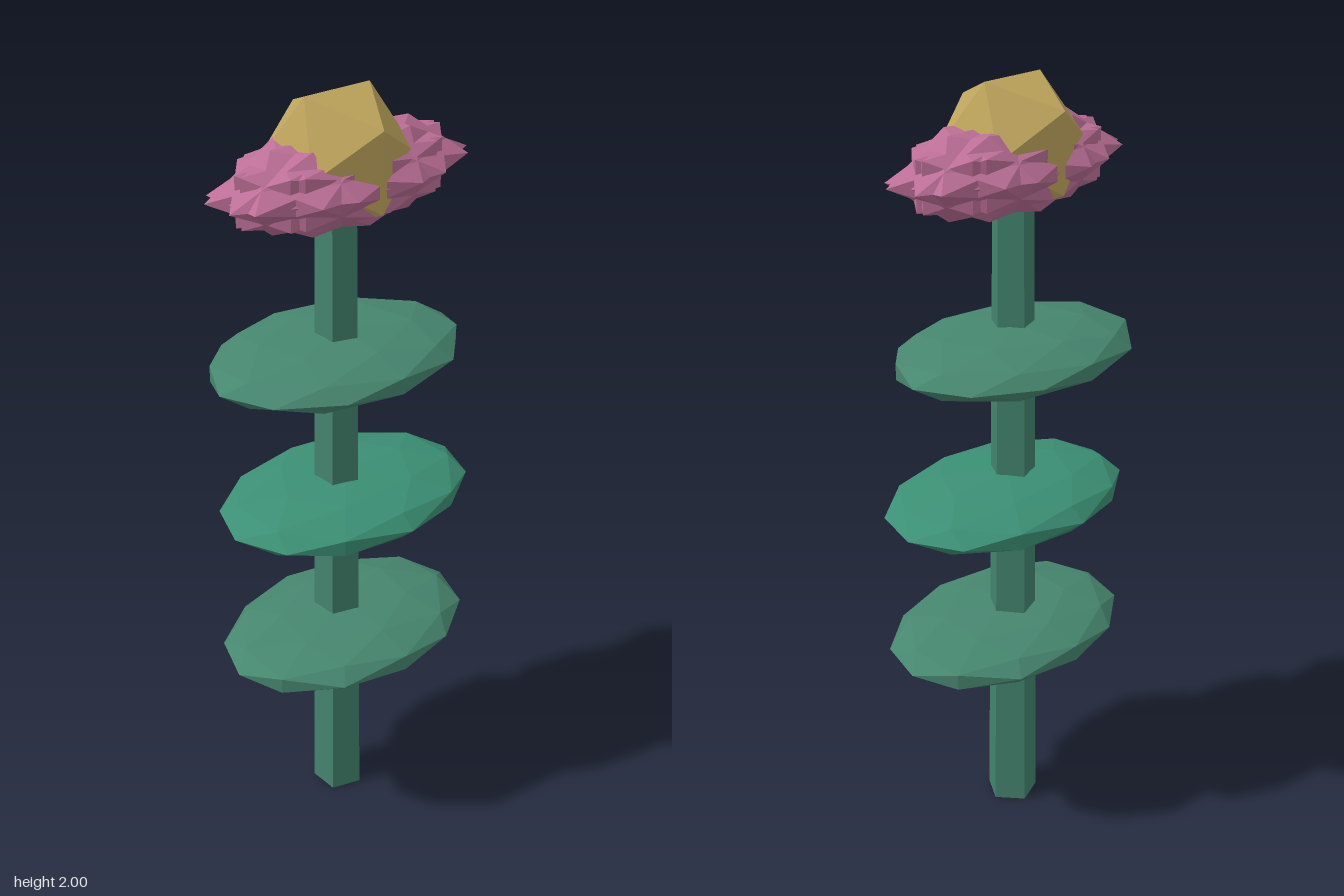
import * as THREE from 'three';

const AXIS = -0.013; // x of the stem

function paint(color) {
  return new THREE.MeshStandardMaterial({ color, flatShading: true });
}

function addMesh(parent, name, geometry, material, x, y, z) {
  const mesh = new THREE.Mesh(geometry, material);
  mesh.name = name;
  mesh.position.set(x, y, z);
  parent.add(mesh);
  return mesh;
}

export function createModel() {
  const model = new THREE.Group();
  model.name = 'flower';

  // Tapered five-sided stem with one corner towards +x
  const stem = new THREE.CylinderGeometry(0.053, 0.07, 1.74, 5, 1, false, Math.PI / 2);
  addMesh(model, 'stem', stem, paint(0x43836d), AXIS, 0.87, 0);

  // Three flattened leaf discs, each turned and nudged differently
  const leaves = [
    { x: -0.005, y: 0.542, z: 0.016, turn: -0.553, color: 0x46866f },
    { x: 0.012, y: 0.94, z: 0, turn: 0, color: 0x3b8f74 },
    { x: -0.004, y: 1.338, z: -0.016, turn: 0.553, color: 0x46866f },
  ];
  for (const leaf of leaves) {
    const disc = new THREE.IcosahedronGeometry(1, 1).rotateY(leaf.turn).scale(0.36, 0.0675, 0.257);
    addMesh(model, 'leaf', disc, paint(leaf.color), leaf.x, leaf.y, leaf.z);
  }

  // Ring of overlapping petals, squashed together into a spiky oval
  const petals = new THREE.Group();
  petals.name = 'petals';
  petals.position.set(0, 1.8, 0);
  model.add(petals);
  const pink = paint(0xbd6f97);
  const count = 8;
  for (let i = 0; i < count; i++) {
    const turn = (i / count) * Math.PI * 2;
    const petal = new THREE.IcosahedronGeometry(1, 0)
      .translate(0.06, 0, 0)
      .rotateY(turn)
      .scale(0.355, 0.116, 0.168);
    addMesh(petals, 'petal', petal, pink, 0, 0, 0);
  }

  // Faceted flower centre
  addMesh(model, 'flowerCentre', new THREE.IcosahedronGeometry(0.185, 0), paint(0xbfa55c), AXIS, 1.843, 0);

  return model;
}
